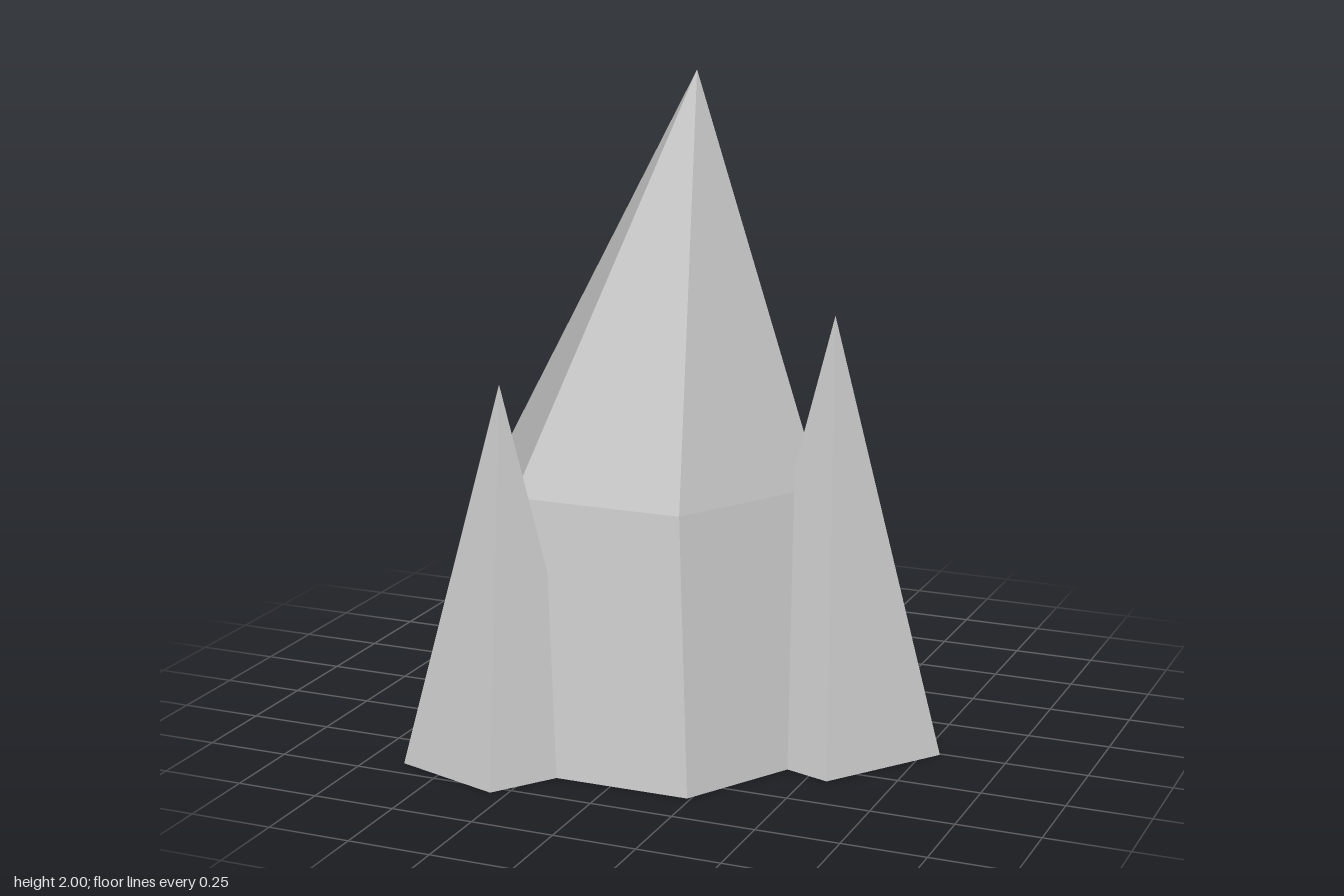
import * as THREE from 'three';

const rock = new THREE.MeshStandardMaterial({ color: 0xc7c7c7, flatShading: true });
rock.name = 'paleGreyRock';

// Faceted solid from a [radius, height] profile, with one corner pointing to +x
function spire(name, sides, profile, x, z, lean = 0) {
  const points = profile.map(([r, y]) => new THREE.Vector2(r, y));
  const indexed = new THREE.LatheGeometry(points, sides, Math.PI / 2);

  // Lean only the tip sideways
  const pos = indexed.attributes.position;
  const tipY = profile[profile.length - 1][1];
  for (let i = 0; i < pos.count; i++) {
    if (pos.getY(i) > tipY - 0.001) pos.setX(i, pos.getX(i) + lean);
  }

  const geometry = indexed.toNonIndexed();
  geometry.computeVertexNormals();
  const mesh = new THREE.Mesh(geometry, rock);
  mesh.name = name;
  mesh.position.set(x, 0, z);
  return mesh;
}

export function createModel() {
  const group = new THREE.Group();
  group.name = 'rockSpires';

  // Large six-sided peak with a shoulder and an off-centre tip
  group.add(spire('mainPeak', 6, [[0, 0], [0.697, 0], [0.523, 0.785], [0, 2]], -0.109, 0.008, 0.129));

  // Small five-sided peaks around it: name, radius, height, x, z
  for (const [name, r, h, x, z] of [
    ['leftPeak', 0.346, 1.305, 0.455, 0.007],
    ['frontRightPeak', 0.302, 1.13, -0.392, 0.5],
    ['backRightPeak', 0.327, 1.475, -0.391, -0.48],
  ]) {
    group.add(spire(name, 5, [[0, 0], [r, 0], [0, h]], x, z));
  }
  return group;
}
